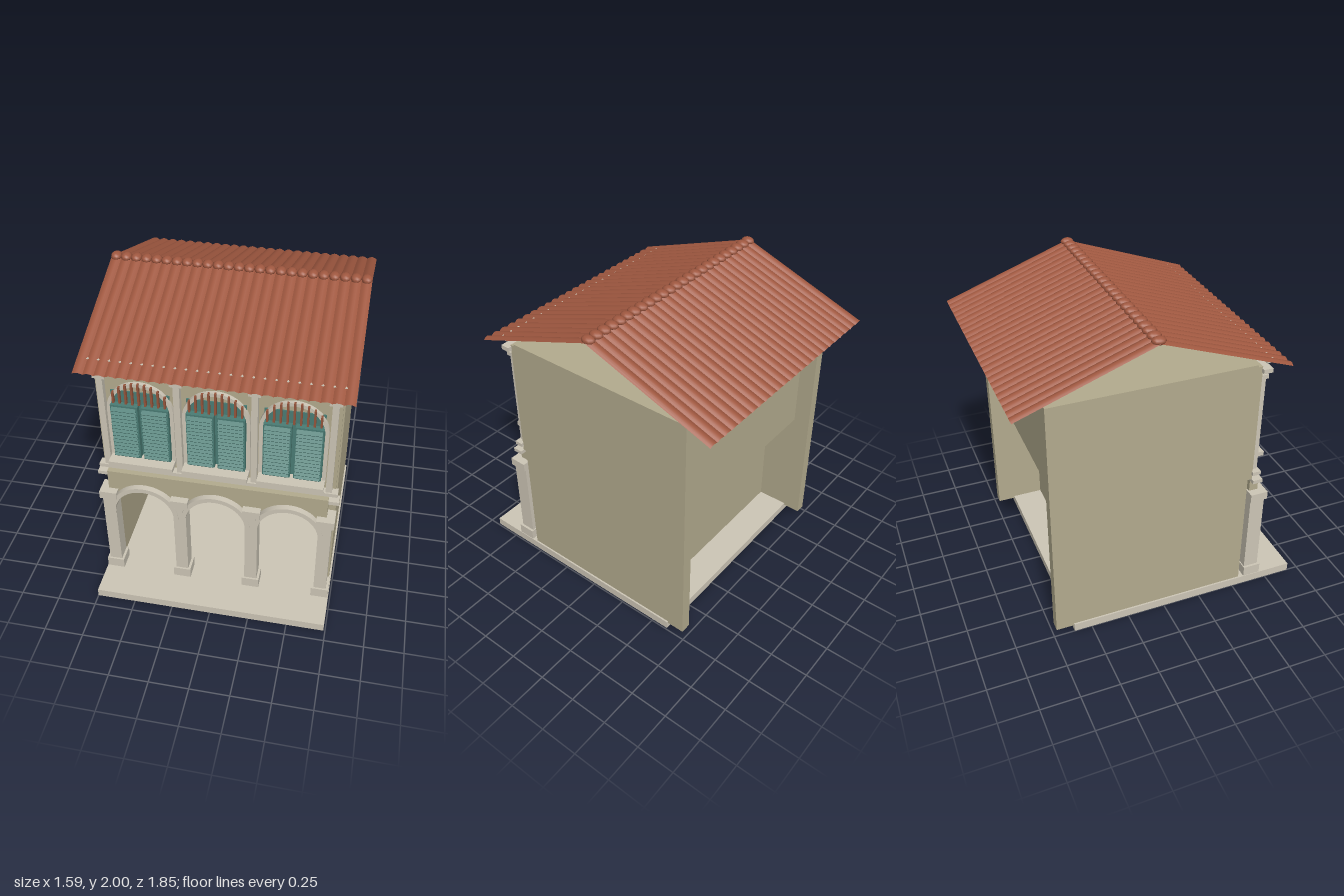
import * as THREE from 'three';
import { toCreasedNormals } from 'three/addons/utils/BufferGeometryUtils.js';

const material = (name, color, side = THREE.FrontSide) => {
  const m = new THREE.MeshStandardMaterial({ color, side });
  m.name = name;
  return m;
};

export function createModel() {
  const plaster = material('tan plaster', 0xb3ab8e);
  const stone = material('cream stone', 0xcdc6b6);
  const glass = material('teal glass', 0x568780);
  const paint = material('teal shutter paint', 0x4a7c74);
  const wood = material('red wood', 0x95553c);
  const tile = material('terracotta tile', 0xa05840, THREE.DoubleSide);

  const model = new THREE.Group();
  model.name = 'shophouse';
  const cx = -0.005; // centre line of the building
  const bay = 0.457; // spacing of the three bays

  const add = (name, geo, mat, parent = model) => {
    const mesh = new THREE.Mesh(geo, mat);
    mesh.name = name;
    parent.add(mesh);
    return mesh;
  };
  // Box given by its limits on each axis
  const box = (name, mat, x0, x1, y0, y1, z0, z1, parent) => {
    const geo = new THREE.BoxGeometry(x1 - x0, y1 - y0, z1 - z0);
    geo.translate((x0 + x1) / 2, (y0 + y1) / 2, (z0 + z1) / 2);
    return add(name, geo, mat, parent);
  };
  const group = (name, x) => {
    const g = new THREE.Group();
    g.name = name;
    g.position.x = x;
    model.add(g);
    return g;
  };
  const extrude = (name, mat, shape, z0, z1, parent) => {
    const geo = new THREE.ExtrudeGeometry(shape, { depth: z1 - z0, bevelEnabled: false, curveSegments: 20 });
    geo.translate(0, 0, z0);
    return add(name, toCreasedNormals(geo, 0.5), mat, parent);
  };
  // Round arch band with straight legs from y = foot up to y = spring
  const arch = (inner, outer, spring, foot) => {
    const s = new THREE.Shape();
    s.moveTo(outer, foot);
    s.lineTo(outer, spring);
    s.absarc(0, spring, outer, 0, Math.PI, false);
    s.lineTo(-outer, foot);
    s.lineTo(-inner, foot);
    s.lineTo(-inner, spring);
    s.absarc(0, spring, inner, Math.PI, 0, true);
    s.lineTo(inner, foot);
    return s;
  };

  // Main masses
  box('baseSlab', stone, -0.75, 0.74, 0, 0.055, -0.615, 0.925);
  for (const s of [-1, 1]) {
    box('sideWall', plaster, cx + s * 0.7 - 0.034, cx + s * 0.7 + 0.034, 0.04, 1.68, -0.73, 0.55);
  }
  box('upperStorey', plaster, cx - 0.67, cx + 0.67, 0.835, 1.66, -0.62, 0.55);
  box('upperFrontWall', plaster, cx - 0.725, cx + 0.725, 0.855, 1.66, 0.54, 0.585);
  box('doorWall', plaster, cx - 0.67, cx + 0.67, 0.05, 0.84, -0.41, -0.3);

  // Wall above the arcade, cut by three arches
  const spandrel = new THREE.Shape();
  spandrel.moveTo(cx - 0.69, 0.875);
  spandrel.lineTo(cx - 0.69, 0.575);
  for (const i of [-1, 0, 1]) {
    spandrel.lineTo(cx + i * bay - 0.2, 0.575);
    spandrel.absarc(cx + i * bay, 0.575, 0.2, Math.PI, 0, true);
  }
  spandrel.lineTo(cx + 0.69, 0.575);
  spandrel.lineTo(cx + 0.69, 0.875);
  extrude('arcadeWall', plaster, spandrel, 0.595, 0.655);

  // Horizontal mouldings
  box('lowerBand', stone, cx - 0.7, cx + 0.7, 0.875, 0.89, 0.58, 0.62);
  box('beltMoulding', stone, cx - 0.742, cx + 0.742, 0.89, 0.915, 0.58, 0.635);
  box('cornice', stone, cx - 0.75, cx + 0.75, 1.622, 1.65, 0.58, 0.64);
  box('eaveBeam', stone, cx - 0.74, cx + 0.74, 1.685, 1.71, 0.6, 0.64);
  for (const s of [-1, 1]) {
    box('endBracket', stone, cx + s * 0.72 - 0.034, cx + s * 0.72 + 0.034, 0.835, 0.86, 0.58, 0.645);
  }

  // Columns below and pilasters above
  for (let i = 0; i < 4; i++) {
    const g = group('columnLine', cx + (i - 1.5) * bay);
    box('columnBase', stone, -0.056, 0.056, 0.055, 0.125, 0.585, 0.702, g);
    box('columnShaft', stone, -0.04, 0.04, 0.125, 0.7, 0.592, 0.69, g);
    box('columnCapital', stone, -0.056, 0.056, 0.68, 0.735, 0.585, 0.702, g);
    box('pilaster', stone, -0.019, 0.019, 0.91, 1.63, 0.58, 0.625, g);
    box('pilasterCapital', stone, -0.037, 0.037, 1.57, 1.597, 0.58, 0.632, g);
  }

  for (const i of [-1, 0, 1]) {
    // Ground floor arch and glazed door
    const g = group('bay', cx + i * bay);
    extrude('arcadeArch', stone, arch(0.19, 0.22, 0.575, 0.56), 0.592, 0.694, g);
    box('door', wood, -0.205, 0.205, 0.07, 0.79, -0.3, -0.27, g);
    for (const s of [-1, 1]) {
      for (const y of [0.13, 0.34, 0.54]) {
        box('doorPane', glass, s * 0.105 - 0.081, s * 0.105 + 0.081, y, y + 0.156, -0.27, -0.264, g);
      }
    }

    // Upper window: surround, sill, panel and fanlight bars
    extrude('windowArch', stone, arch(0.18, 0.203, 1.342, 0.99), 0.58, 0.612, g);
    box('windowSill', stone, -0.2, 0.2, 0.965, 0.995, 0.58, 0.695, g);
    box('windowPanel', paint, -0.178, 0.178, 0.995, 1.47, 0.58, 0.592, g);
    for (let k = -4; k <= 4; k++) {
      const x = k * 0.039;
      const top = 1.345 + Math.sqrt(0.205 ** 2 - x * x);
      box('fanlightBar', wood, x - 0.006, x + 0.006, 1.4, top, 0.605, 0.626, g);
    }

    // Pair of louvred shutters
    for (const s of [-1, 1]) {
      const c = s * 0.093;
      box('shutterTopRail', paint, c - 0.083, c + 0.083, 1.37, 1.387, 0.59, 0.63, g);
      box('shutterBottomRail', paint, c - 0.083, c + 0.083, 0.998, 1.013, 0.59, 0.63, g);
      for (const e of [-1, 1]) {
        box('shutterStile', paint, c + e * 0.077 - 0.006, c + e * 0.077 + 0.006, 1, 1.385, 0.59, 0.63, g);
      }
      for (let k = 0; k < 14; k++) {
        const slat = add('shutterSlat', new THREE.BoxGeometry(0.15, 0.006, 0.032), paint, g);
        slat.position.set(c, 1.026 + k * 0.0262, 0.639);
        slat.rotation.x = 0.5;
      }
    }
  }

  // Roof: two slopes of rounded tile rows
  const rows = 25, width = 1.59, run = 0.8325, drop = 0.3;
  const slope = new THREE.PlaneGeometry(width, Math.hypot(run, drop), rows * 6, 1);
  const p = slope.attributes.position;
  for (let i = 0; i < p.count; i++) {
    const t = ((p.getX(i) + width / 2) / width) * rows;
    p.setZ(i, 0.013 * Math.abs(Math.sin(Math.PI * t)));
  }
  slope.rotateX(-Math.PI / 2 + Math.atan2(drop, run));
  slope.translate(0, -drop / 2, run / 2);
  const slopeGeo = toCreasedNormals(slope, 0.6);
  const roof = group('roof', cx);
  roof.position.set(cx, 1.968, -0.0925);
  add('frontRoofSlope', slopeGeo, tile, roof);
  add('backRoofSlope', slopeGeo, tile, roof).rotation.y = Math.PI;

  // Ridge tiles
  const knob = new THREE.SphereGeometry(1, 10, 6);
  knob.scale(0.034, 0.025, 0.044);
  for (let i = 0; i < rows; i++) {
    add('ridgeTile', knob, tile, roof).position.set(((i + 0.5) / rows - 0.5) * width, 0.007, 0);
  }
  return model;
}
